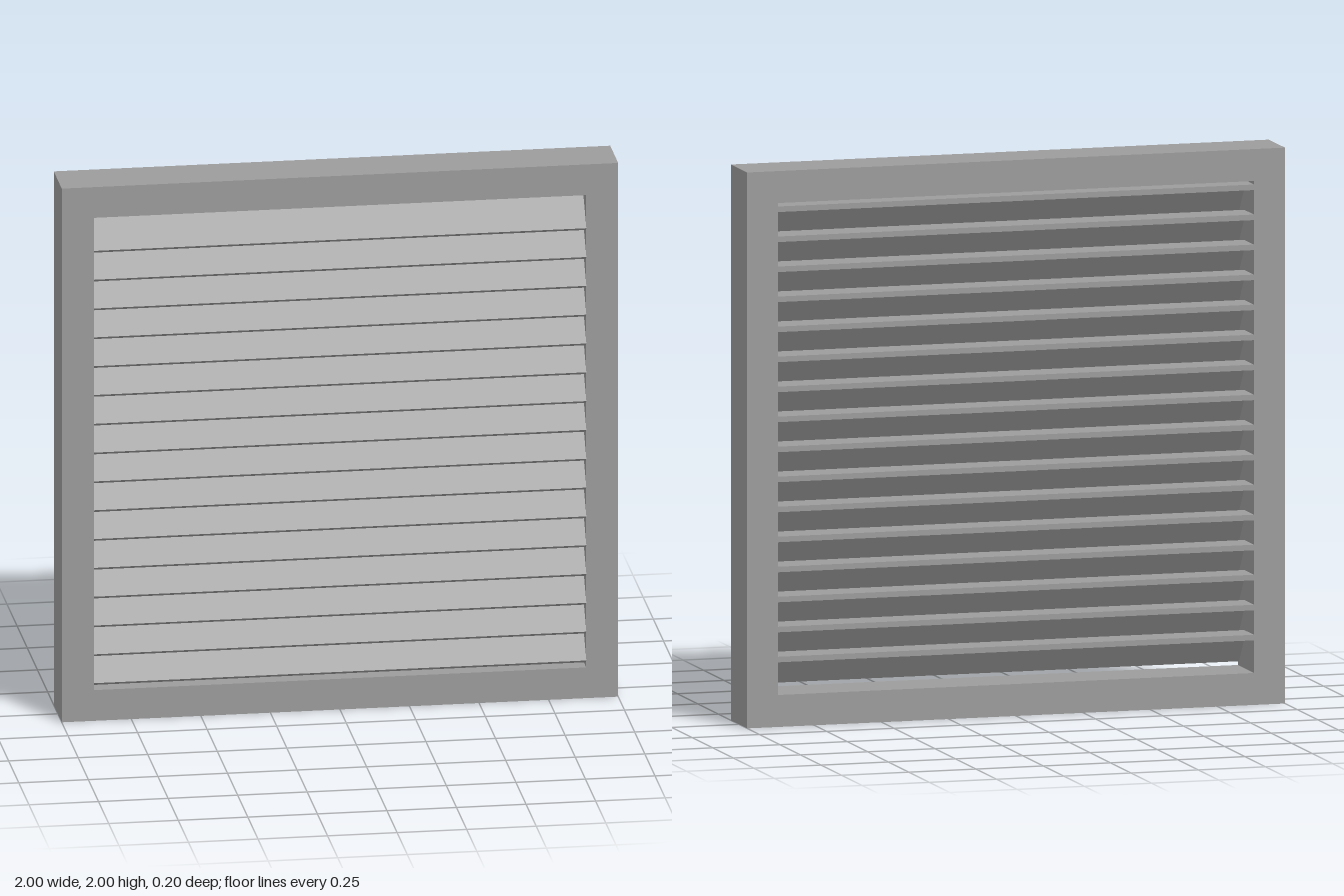
import * as THREE from 'three';

const material = new THREE.MeshStandardMaterial({ color: 0x9c9c9c, flatShading: true });

// Closed rectangle path from corner to corner
function rectangle(path, x0, y0, x1, y1) {
  path.moveTo(x0, y0);
  path.lineTo(x1, y0);
  path.lineTo(x1, y1);
  path.lineTo(x0, y1);
  path.closePath();
  return path;
}

// Square surround with a rectangular opening
function createFrame() {
  const shape = rectangle(new THREE.Shape(), -1, 0, 1, 2);
  shape.holes.push(rectangle(new THREE.Path(), -0.885, 0.115, 0.885, 1.885));
  const geometry = new THREE.ExtrudeGeometry(shape, { depth: 0.197, bevelEnabled: false });
  geometry.translate(0, 0, -0.1);
  const frame = new THREE.Mesh(geometry, material);
  frame.name = 'frame';
  return frame;
}

// Bent blade section: level rear flange, then a steep front slope
function createSlatGeometry(width) {
  const rear = -0.097, bend = 0.02, front = 0.1, drop = 0.11, t = 0.02;
  const angle = Math.atan2(drop, front - bend);
  const profile = new THREE.Shape([
    [rear, 0],
    [rear, -t],
    [bend - t * Math.tan(angle / 2), -t],
    [front - t * Math.sin(angle), -drop - t * Math.cos(angle)],
    [front, -drop],
    [bend, 0],
  ].map(([z, y]) => new THREE.Vector2(z, y)));
  const geometry = new THREE.ExtrudeGeometry(profile, { depth: width, bevelEnabled: false });
  geometry.translate(0, 0, -width / 2);
  geometry.rotateY(-Math.PI / 2);
  return geometry;
}

export function createModel() {
  const model = new THREE.Group();
  model.name = 'louvreVent';
  model.add(createFrame());

  // Evenly spaced blades across the opening
  const slats = new THREE.Group();
  slats.name = 'slats';
  const slatGeometry = createSlatGeometry(1.77);
  for (let i = 0; i < 16; i++) {
    const slat = new THREE.Mesh(slatGeometry, material);
    slat.name = `slat${i + 1}`;
    slat.position.y = 1.872 - i * 0.108;
    slats.add(slat);
  }
  model.add(slats);
  return model;
}
